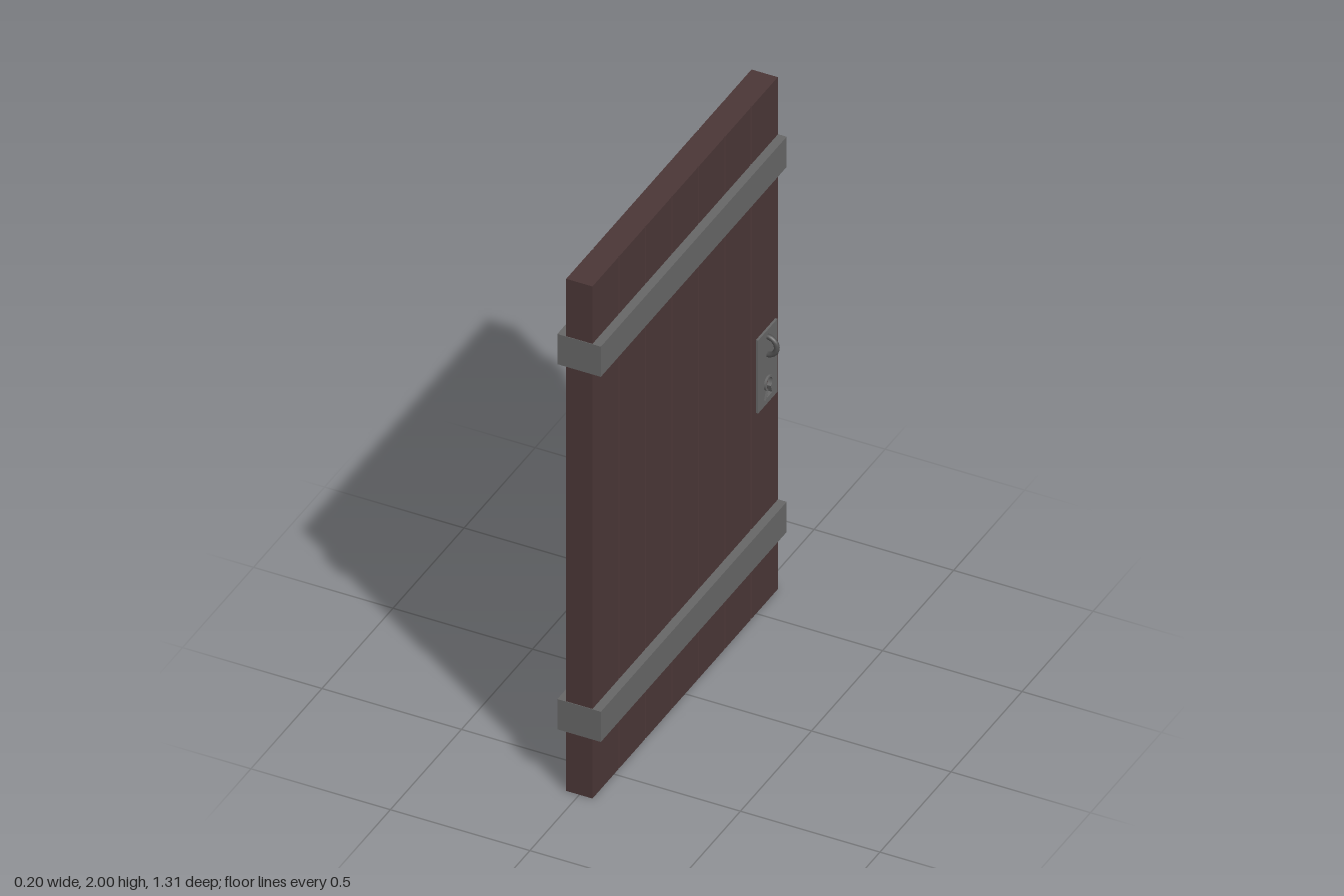
import * as THREE from 'three';

const H = 2, HALF_T = 0.047, HALF_W = 0.652, PLANKS = 7, GROOVE = 0.004;
const LOCK_U = 0.565, KEY_Y = 0.865; // u runs along -z

const wood = new THREE.MeshStandardMaterial({ color: 0x4a3636 });
const iron = new THREE.MeshStandardMaterial({ color: 0x666666 });
const darkIron = new THREE.MeshStandardMaterial({ color: 0x505050 });

// Keyhole outline: round head with a flared skirt, grown outwards by g
function keyhole(Type, g = 0) {
  const p = new Type();
  const r = 0.02 + g, a = Math.PI * 0.36;
  p.absarc(LOCK_U, KEY_Y, r, -a, Math.PI + a, false);
  p.lineTo(LOCK_U - 0.019 - g, KEY_Y - 0.047 - g);
  p.lineTo(LOCK_U + 0.019 + g, KEY_Y - 0.047 - g);
  p.closePath();
  return p;
}

function rect(u0, u1, y0, y1) {
  return new THREE.Shape([[u0, y0], [u1, y0], [u1, y1], [u0, y1]].map(([u, y]) => new THREE.Vector2(u, y)));
}

// Side-on shape with the keyhole cut out, spanning x0 to x1
function piercedSlab(shape, x0, x1) {
  shape.holes.push(keyhole(THREE.Path));
  const geo = new THREE.ExtrudeGeometry(shape, { depth: x1 - x0, bevelEnabled: false, curveSegments: 16 });
  return geo.rotateY(Math.PI / 2).translate(x0, 0, 0);
}

// Plan outline (x, u) raised to the full door height
function upright(points) {
  const shape = new THREE.Shape(points.map(([x, u]) => new THREE.Vector2(x, u)));
  return new THREE.ExtrudeGeometry(shape, { depth: H, bevelEnabled: false }).rotateX(-Math.PI / 2);
}

export function createModel() {
  const model = new THREE.Group();
  model.name = 'door';
  const add = (name, geo, mat) => {
    const mesh = new THREE.Mesh(geo, mat);
    mesh.name = name;
    model.add(mesh);
    return mesh;
  };

  // Planks, chamfered where they meet
  const w = (2 * HALF_W) / PLANKS, t = HALF_T, n = t - GROOVE;
  for (let i = 0; i < PLANKS - 1; i++) {
    const a = -HALF_W + i * w, b = a + w;
    const start = i === 0 ? t : n;
    add(`plank${i + 1}`, upright([
      [-start, a], [start, a], [t, a + GROOVE], [t, b - GROOVE],
      [n, b], [-n, b], [-t, b - GROOVE], [-t, a + GROOVE],
    ]), wood);
  }

  // Lock plank: pierced body and its chamfered inner edge
  const edge = HALF_W - w;
  add('lockPlank', piercedSlab(rect(edge + GROOVE, HALF_W, 0, H), -t, t), wood);
  add('lockPlankEdge', upright([[-n, edge], [n, edge], [t, edge + GROOVE], [-t, edge + GROOVE]]), wood);

  // Iron bands wrapped around the door
  for (const [name, y] of [['lowerBand', 0.291], ['upperBand', 1.717]]) {
    add(name, new THREE.BoxGeometry(0.156, 0.118, 2 * HALF_W + 0.004), iron).position.y = y;
  }

  // Lock plate, keyhole collar and ring handle on both faces
  for (const [side, s] of [['left', 1], ['right', -1]]) {
    const slab = (shape, inner, outer) =>
      piercedSlab(shape, Math.min(s * inner, s * outer), Math.max(s * inner, s * outer));
    add(`${side}LockPlate`, slab(rect(0.498, 0.634, 0.785, 1.07), t, 0.055), iron);
    add(`${side}KeyholeCollar`, slab(keyhole(THREE.Shape, 0.007), 0.055, 0.062), iron);
    const ring = add(`${side}RingHandle`, new THREE.TorusGeometry(0.035, 0.0095, 10, 28), darkIron);
    ring.position.set(s * 0.053, 1.01, -LOCK_U);
  }
  return model;
}
